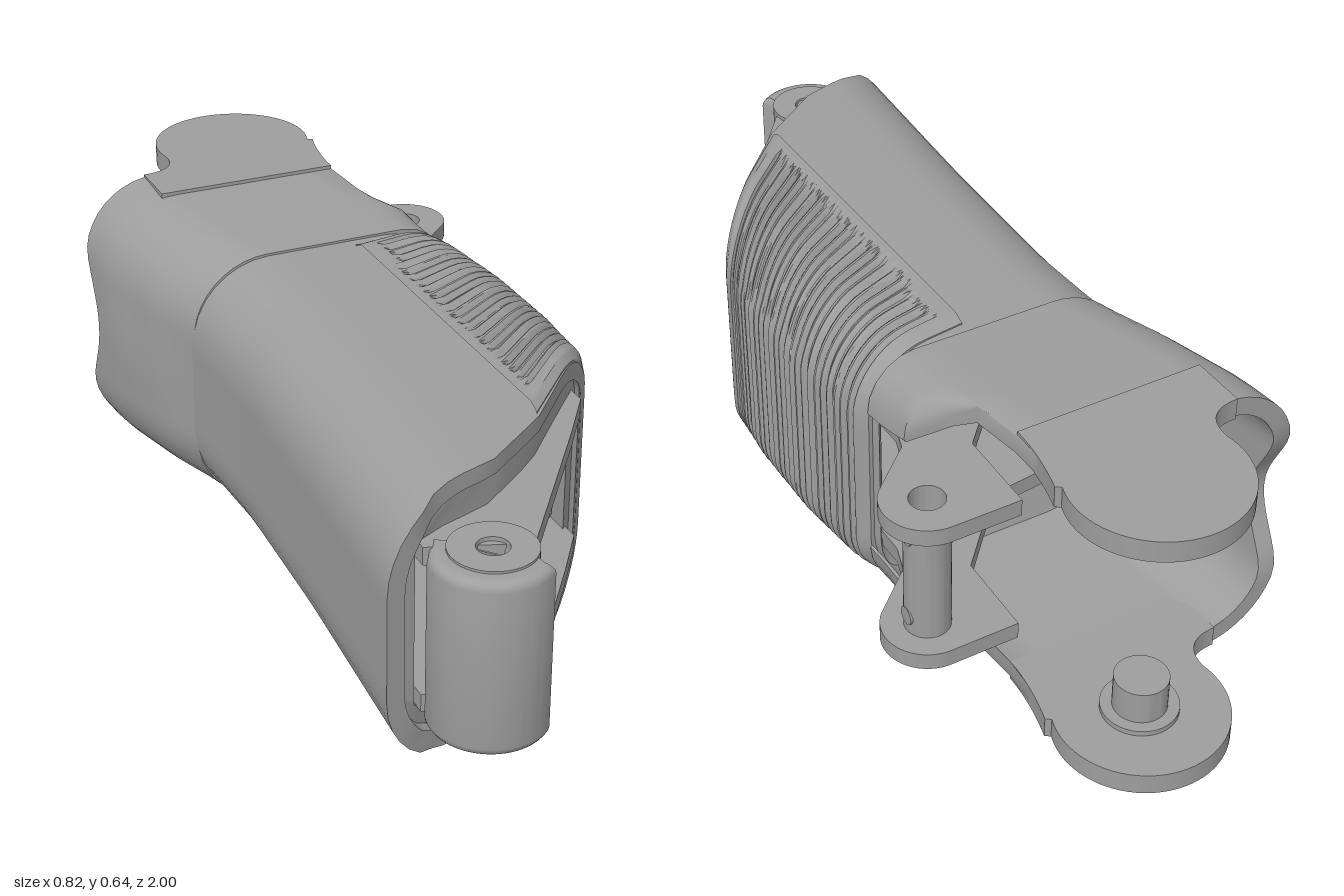
import * as THREE from 'three';
import { toCreasedNormals } from 'three/addons/utils/BufferGeometryUtils.js';

const lerp = THREE.MathUtils.lerp;

// piecewise linear lookup in [[key, value], ...]
function table(k, rows) {
  if (k <= rows[0][0]) return rows[0][1];
  for (let i = 1; i < rows.length; i++) {
    const [a, va] = rows[i - 1], [b, vb] = rows[i];
    if (k <= b) return lerp(va, vb, (k - a) / (b - a));
  }
  return rows[rows.length - 1][1];
}

// surface through rows of points
function skin(rows, closeU, closeV) {
  const n = rows[0].length, m = rows.length, index = [];
  for (let j = 0; j < (closeV ? m : m - 1); j++) {
    for (let i = 0; i < (closeU ? n : n - 1); i++) {
      const i2 = (i + 1) % n, j2 = (j + 1) % m;
      const a = j * n + i, b = j * n + i2, c = j2 * n + i2, d = j2 * n + i;
      index.push(a, b, c, a, c, d);
    }
  }
  const g = new THREE.BufferGeometry();
  g.setAttribute('position', new THREE.Float32BufferAttribute(rows.flat(2), 3));
  g.setIndex(index);
  return toCreasedNormals(g, 0.6);
}

// closed rounded rectangle, always the same number of points
function ring(x0, x1, y0, y1, rl, rr) {
  const corners = [
    [x1 - rr, y1 - rr, rr, 0], [x0 + rl, y1 - rl, rl, 1],
    [x0 + rl, y0 + rl, rl, 2], [x1 - rr, y0 + rr, rr, 3]];
  const pts = [];
  corners.forEach(([cx, cy, r, q], k) => {
    for (let j = 0; j <= 8; j++) {
      const a = (q + j / 8) * Math.PI / 2;
      pts.push([cx + r * Math.cos(a), cy + r * Math.sin(a)]);
    }
    const [nx, ny, nr, nq] = corners[(k + 1) % 4], a = nq * Math.PI / 2;
    const p = pts[pts.length - 1], e = [nx + nr * Math.cos(a), ny + nr * Math.sin(a)];
    for (let j = 1; j < 9; j++) pts.push([lerp(p[0], e[0], j / 9), lerp(p[1], e[1], j / 9)]);
  });
  return pts;
}

// open C section: top end, round the side wall, back to the bottom end
function cPath(xEnd, xSide, y0, y1, r, drop = 0) {
  const s = Math.sign(xSide - xEnd), half = [], mid = (y0 + y1) / 2;
  for (let j = 0; j <= 5; j++) { // turned-down lip at the open end
    const a = j / 5 * Math.PI / 2;
    half.push([xEnd + s * 0.11 * drop * (1 - Math.sin(a)), 0, 0.12 * drop * Math.cos(a)]);
    half[j][0] = xEnd + s * 0.11 * drop * (1 - Math.cos(Math.PI / 2 - a));
  }
  const lip = half.map((p, j) => {
    const a = j / 5 * Math.PI / 2;
    return [xEnd + s * 0.11 * drop * (1 - Math.cos(a)), y1 - 0.12 * drop * (1 - Math.sin(a))];
  });
  const x0 = lip[5][0], x1 = xSide - s * r;
  for (let j = 1; j < 6; j++) lip.push([lerp(x0, x1, j / 6), y1]);
  for (let j = 0; j <= 10; j++) {
    const a = j / 10 * Math.PI / 2;
    lip.push([x1 + s * r * Math.sin(a), y1 - r + r * Math.cos(a)]);
  }
  const start = y1 - r;
  for (let j = 1; j <= 6; j++) lip.push([xSide, lerp(start, mid, j / 6)]);
  return lip.concat(lip.slice(0, -1).reverse().map(([x, y]) => [x, 2 * mid - y]));
}

// slanted front edge of the body
const frontZ = x => table(x, [[-0.36, 0.855], [-0.28, 0.835], [-0.24, 0.805], [-0.1, 0.76],
  [0.05, 0.65], [0.17, 0.52], [0.32, 0.36]]);
const leftX = z => table(z, [[-0.7, -0.41], [-0.6, -0.405], [-0.4, -0.365], [-0.24, -0.32],
  [0, -0.31], [0.4, -0.325], [0.85, -0.355]]);

// body with a window running right through it
function bodyGeometry() {
  const rows = [];
  for (let k = 0; k <= 14; k++) {
    const t = k / 14;
    const x1 = table(lerp(-0.25, 0.37, t), [[-0.25, 0.27], [-0.1, 0.3], [0.1, 0.31], [0.37, 0.305]]);
    rows.push(ring(leftX(lerp(-0.25, 0.85, t)), x1, 0.03, 0.615, 0.18, 0.14)
      .map(([x, y]) => [x, y, lerp(-0.25, frontZ(x), t)]));
  }
  const rim = ring(-0.315, 0.285, 0.065, 0.58, 0.15, 0.12);
  rows.push(rim.map(([x, y]) => [x, y, frontZ(x)]));
  rows.push(rim.map(([x, y]) => [x, y, frontZ(x) - 0.025]));
  const hole = ring(-0.28, 0.25, 0.145, 0.505, 0.02, 0.02);
  rows.push(hole.map(([x, y]) => [x, y, frontZ(x) - 0.025]));
  rows.push(hole.map(([x, y]) => [x, y, -0.22]));
  return skin(rows, true, true);
}

// thin socket behind the body, open towards +x
function socketGeometry() {
  const zs = [-0.23, -0.28, -0.33, -0.36, -0.39, -0.42, -0.46, -0.52, -0.58, -0.64, -0.7];
  const section = (z, inset) => {
    const xEnd = table(z, [[-0.7, 0.165], [-0.6, 0.155], [-0.46, 0.17], [-0.42, 0.2], [-0.36, 0.275], [-0.23, 0.285]]);
    const drop = table(z, [[-0.46, 0.03], [-0.42, 0.3], [-0.36, 0.9], [-0.3, 1]]);
    const y1 = table(z, [[-0.7, 0.643], [-0.23, 0.62]]);
    const make = i => cPath(xEnd, leftX(z) + i, 0.645 - y1 + i, y1 - i, 0.175 - i, drop);
    const outer = make(0);
    return make(inset).map((p, i, all) => {
      const [x, y] = i === 0 || i === all.length - 1 ? outer[i] : p;
      const near = Math.max(0, 1 - Math.abs(y - 0.322) / 0.2) * (x < -0.2 ? 1 : 0);
      const wave = 0.065 * Math.sin(near * Math.PI / 2) ** 2; // scalloped back edge
      return [x, y, z + wave * (-0.23 - z) / 0.47];
    });
  };
  const rows = zs.map(z => section(z, 0));
  zs.slice().reverse().forEach(z => rows.push(section(z, 0.04)));
  return skin(rows, false, true);
}

// ribbed grip pad wrapped round the +x side
function gripGeometry() {
  const ribs = 22, steps = ribs * 6, rows = [];
  const section = (t, inset) => {
    const v = (t - 0.05) / 0.88, onRibs = v > 0 && v < 1;
    const groove = onRibs ? 0.013 * (1 - Math.abs(Math.sin(v * ribs * Math.PI))) : 0;
    const zR = lerp(-0.235, 0.36, t), zL = lerp(-0.2, 0.64, t);
    const side = table(zR, [[-0.235, 0.295], [-0.18, 0.315], [0, 0.333], [0.2, 0.333], [0.36, 0.318]]);
    const edge = 0.012 * Math.max(0, 1 - Math.min(t, 1 - t) / 0.03);
    const make = i => cPath(0.05, side - i, 0.015 + i, 0.63 - i, 0.15 - i);
    const flat = make(inset + edge), cut = make(inset + edge + groove);
    return flat.map(([x, y], i) => {
      if (x > 0.09) [x, y] = cut[i];
      return [x, y, lerp(zL, zR, Math.min(1, (x - 0.05) / 0.27))];
    });
  };
  for (let k = 0; k <= steps; k++) rows.push(section(k / steps, 0));
  for (let k = 8; k >= 0; k--) rows.push(section(k / 8, 0.03));
  return skin(rows, false, true);
}

// flat part drawn in x and z, between two heights
function plate(shape, y0, y1, bevel = 0) {
  const g = new THREE.ExtrudeGeometry(shape, {
    depth: y1 - y0 - 2 * bevel, curveSegments: 20, bevelEnabled: bevel > 0,
    bevelThickness: bevel, bevelSize: bevel, bevelOffset: -bevel, bevelSegments: 4 });
  return toCreasedNormals(g.rotateX(Math.PI / 2).translate(0, y1 - bevel, 0), 0.6);
}

function disc(x, z, r, hole = 0) {
  const s = new THREE.Shape().absarc(x, z, r, 0, Math.PI * 2, false);
  if (hole) s.holes.push(new THREE.Path().absarc(x, z, hole, 0, Math.PI * 2, true));
  return s;
}

export function createModel() {
  const model = new THREE.Group();
  const grey = new THREE.MeshStandardMaterial({ color: 0x9e9e9e, side: THREE.DoubleSide });
  grey.name = 'grey';
  const add = (name, geometry) => {
    const mesh = new THREE.Mesh(geometry, grey);
    mesh.name = name;
    model.add(mesh);
    return mesh;
  };
  // the same part at the top and mirrored at the bottom
  const pair = (name, shape, y0, y1, mid) => {
    add(name + 'Upper', plate(shape, y0, y1));
    add(name + 'Lower', plate(shape, 2 * mid - y1, 2 * mid - y0));
  };

  add('body', bodyGeometry());
  add('socket', socketGeometry());
  add('grip', gripGeometry());

  // round tongues at the back, with their pivot pins
  const tongue = new THREE.Shape();
  tongue.moveTo(0.155, -0.58);
  tongue.quadraticCurveTo(0.155, -0.66, 0.18, -0.75);
  tongue.absarc(0, -0.82, 0.18, 0.35, -Math.PI - 0.2, true);
  tongue.quadraticCurveTo(-0.175, -0.705, -0.26, -0.705);
  tongue.lineTo(-0.26, -0.58);
  pair('tongue', tongue, 0.597, 0.645, 0.3225);
  pair('pivotPin', disc(0, -0.815, 0.056), 0.51, 0.6, 0.3225);
  pair('pivotCollar', disc(0, -0.815, 0.08), 0.585, 0.6, 0.3225);

  // inner frame plates, from the front barrel to the rear hinge tab
  const frame = new THREE.Shape();
  frame.moveTo(-0.27, -0.22);
  frame.lineTo(0, -0.25);
  frame.lineTo(0.155, -0.42);
  frame.lineTo(0.16, -0.613);
  frame.absarc(0.313, -0.518, 0.095, -Math.PI / 2, 0.75, false);
  [[0.28, -0.36], [0.26, -0.3], [0.26, 0.44], [0.18, 0.55], [-0.08, 0.89], [-0.16, 0.86], [-0.27, 0.82]]
    .forEach(([x, z]) => frame.lineTo(x, z));
  frame.holes.push(new THREE.Path().absarc(0.313, -0.518, 0.037, 0, Math.PI * 2, true));
  frame.holes.push(new THREE.Path().absarc(-0.16, 0.82, 0.02, 0, Math.PI * 2, true));
  frame.holes.pop();
  pair('framePlate', frame, 0.466, 0.504, 0.325);

  // rear hinge tube with two small plugs
  add('hingeTube', plate(disc(0.313, -0.518, 0.048, 0.037), 0.18, 0.47));
  for (const y of [0.222, 0.428]) {
    const plug = add('hingePlug', new THREE.CylinderGeometry(0.02, 0.02, 0.008, 16));
    plug.rotation.z = Math.PI / 2;
    plug.position.set(0.358, y, -0.518);
  }

  // front barrel and its bored end rings
  const barrel = new THREE.Shape();
  barrel.moveTo(-0.08, 0.83);
  barrel.absarc(-0.16, 0.88, 0.12, 0.84, 3.4, false);
  barrel.lineTo(-0.24, 0.79);
  barrel.holes.push(new THREE.Path().absarc(-0.16, 0.88, 0.03, 0, Math.PI * 2, true));
  add('barrel', plate(barrel, 0.135, 0.508, 0.02));
  pair('barrelRing', disc(-0.16, 0.88, 0.085, 0.032), 0.47, 0.513, 0.3225);

  // short pins and full-height columns inside the window
  pair('shortPin', disc(-0.022, 0.7, 0.037), 0.385, 0.47, 0.325);
  pair('shortPinCollar', disc(-0.022, 0.7, 0.07), 0.457, 0.467, 0.325);
  for (const z of [0.56, 0.12]) {
    add('column', plate(disc(-0.027, z, 0.052), 0.18, 0.47));
    pair('columnCollar', disc(-0.027, z, 0.08), 0.457, 0.467, 0.325);
  }
  return model;
}
